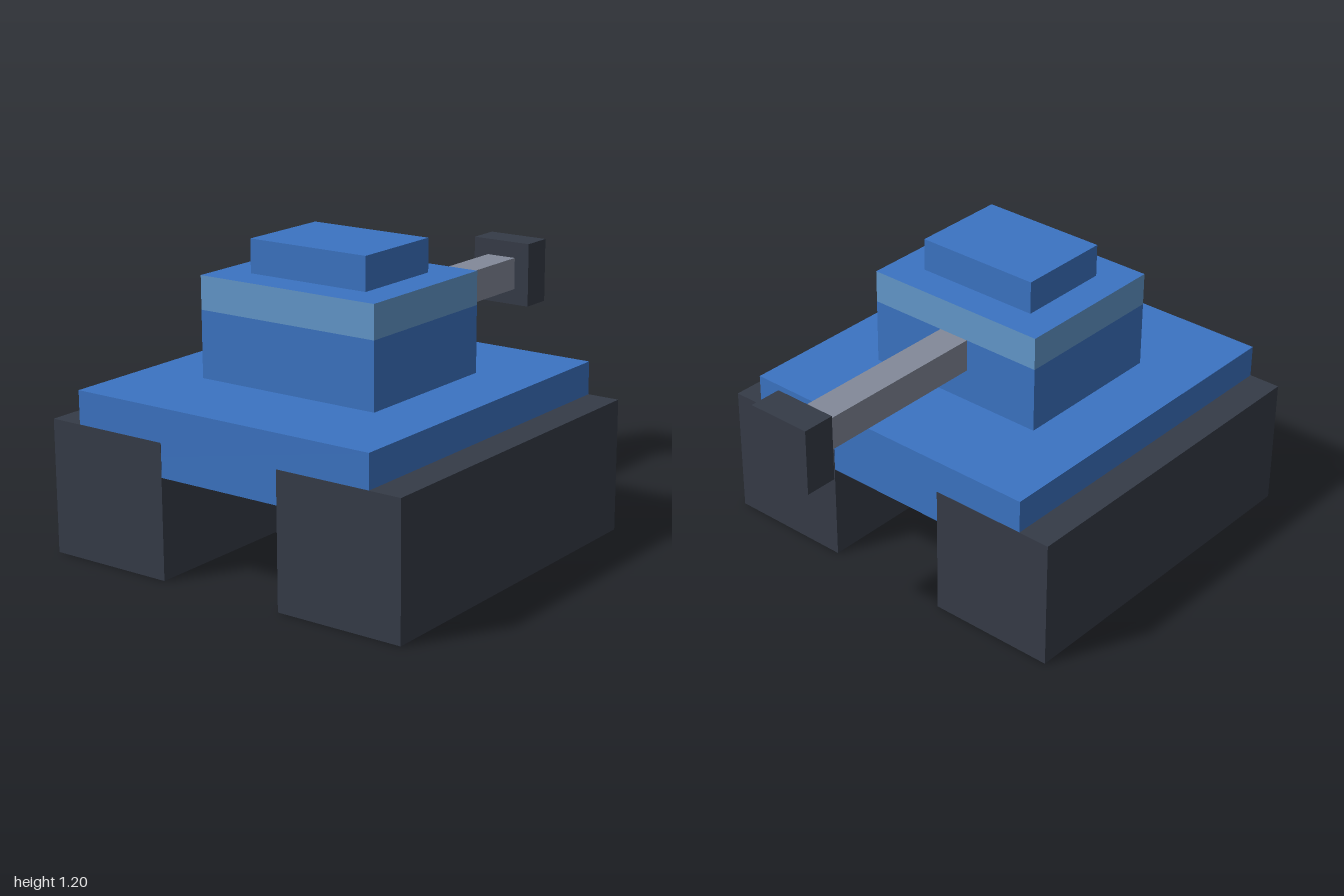
import * as THREE from 'three';

export function createModel() {
  const group = new THREE.Group();
  const material = (name, color) => {
    const m = new THREE.MeshStandardMaterial({ color });
    m.name = name;
    return m;
  };
  const blue = material('blue', 0x3b73c2);
  const lightBlue = material('lightBlue', 0x6297ca);
  const dark = material('darkGrey', 0x353b47);
  const grey = material('grey', 0x828999);

  // Every part is a box on a grid of 1/15 unit, given by its limits.
  const U = 1 / 15;
  const block = (name, mat, [x0, x1], [y0, y1], [z0, z1]) => {
    const geometry = new THREE.BoxGeometry((x1 - x0) * U, (y1 - y0) * U, (z1 - z0) * U);
    const mesh = new THREE.Mesh(geometry, mat);
    mesh.name = name;
    mesh.position.set((x0 + x1) / 2 * U, (y0 + y1) / 2 * U, (z0 + z1) / 2 * U);
    group.add(mesh);
  };

  // Tracks
  block('leftTrack', dark, [4, 12], [0, 8], [-7, 15]);
  block('rightTrack', dark, [-12, -4], [0, 8], [-7, 15]);

  // Hull, a hair shorter than the tracks so their end faces do not coincide
  block('hull', blue, [-10, 10], [6, 10], [-6.98, 14.98]);

  // Turret with a light band around its upper sides, and the hatch on top
  block('turret', blue, [-6, 6], [10, 14], [-1, 9]);
  block('turretBand', [lightBlue, lightBlue, blue, blue, lightBlue, lightBlue],
    [-6, 6], [14, 16], [-1, 9]);
  block('hatch', blue, [-4, 4], [16, 18], [1, 7]);

  // Gun
  block('barrel', grey, [-1, 1], [12, 14], [-13, -1]);
  block('muzzle', dark, [-2, 2], [11, 15], [-15, -13]);

  return group;
}
